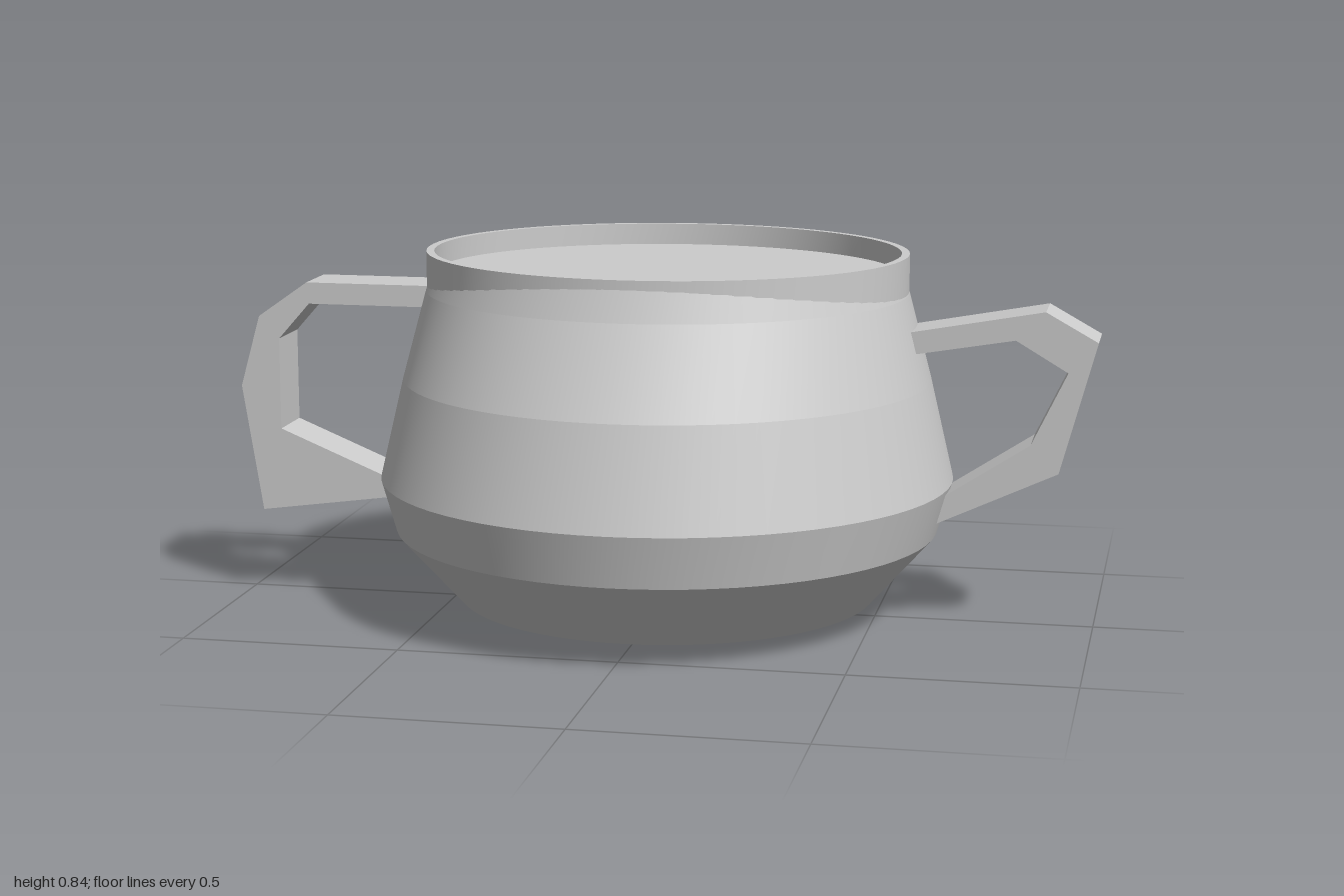
import * as THREE from 'three';

const SEGMENTS = 72;
const CENTER_X = 0.01;

// One band between two elliptical rings [rx, rz, y]; smooth around, sharp at the rings
function band(a, b) {
  const pos = [], idx = [];
  for (let i = 0; i < SEGMENTS; i++) {
    const t = (i / SEGMENTS) * Math.PI * 2;
    for (const [rx, rz, y] of [a, b]) pos.push(Math.sin(t) * rx, y, Math.cos(t) * rz);
    const p = i * 2, q = ((i + 1) % SEGMENTS) * 2;
    idx.push(p, q, q + 1, p, q + 1, p + 1);
  }
  const g = new THREE.BufferGeometry();
  g.setAttribute('position', new THREE.Float32BufferAttribute(pos, 3));
  g.setIndex(idx);
  g.computeVertexNormals();
  return g;
}

export function createModel() {
  const group = new THREE.Group();
  const gray = new THREE.MeshStandardMaterial({ color: 0xcccccc });
  gray.name = 'light gray';

  const add = (name, geometry, parent = group) => {
    const mesh = new THREE.Mesh(geometry, gray);
    mesh.name = name;
    parent.add(mesh);
    return mesh;
  };

  const loft = (name, rings) => {
    const part = new THREE.Group();
    part.name = name;
    part.position.x = CENTER_X;
    for (let i = 0; i < rings.length - 1; i++) add(name + 'Band' + i, band(rings[i], rings[i + 1]), part);
    group.add(part);
  };

  // Pot body, from the flat base up to the neck
  loft('body', [
    [0.001, 0.001, 0],
    [0.29, 0.295, 0],
    [0.483, 0.482, 0.037],
    [0.628, 0.632, 0.2],
    [0.662, 0.664, 0.32],
    [0.608, 0.605, 0.55],
    [0.556, 0.512, 0.75],
    [0.53, 0.488, 0.825],
  ]);

  // Oval rim: outer wall, lip and inner wall
  loft('rim', [
    [0.555, 0.49, 0.72],
    [0.555, 0.49, 0.84],
    [0.537, 0.474, 0.84],
    [0.537, 0.474, 0.785],
  ]);

  // Level surface just below the rim
  const contents = add('contents', new THREE.CircleGeometry(1, SEGMENTS));
  contents.rotation.x = -Math.PI / 2;
  contents.scale.set(0.537, 0.474, 1);
  contents.position.set(CENTER_X, 0.79, 0);

  // Angular handles, whose ends run into the body
  const handles = {
    leftHandle: [
      [0.53, 0.669], [0.59, 0.68], [0.88, 0.733], [0.998, 0.667], [0.917, 0.367], [0.6, 0.22],
      [0.6, 0.265], [0.853, 0.43], [0.933, 0.597], [0.815, 0.667], [0.53, 0.618],
    ],
    rightHandle: [
      [-0.52, 0.75], [-0.835, 0.75], [-0.953, 0.667], [-1, 0.5], [-0.953, 0.203], [-0.59, 0.253],
      [-0.59, 0.27], [-0.905, 0.4], [-0.905, 0.615], [-0.83, 0.7], [-0.52, 0.7],
    ],
  };
  for (const [name, outline] of Object.entries(handles)) {
    const shape = new THREE.Shape(outline.map(([x, y]) => new THREE.Vector2(x, y)));
    const geometry = new THREE.ExtrudeGeometry(shape, { depth: 0.134, bevelEnabled: false });
    geometry.translate(0, 0, -0.067);
    add(name, geometry);
  }

  return group;
}
